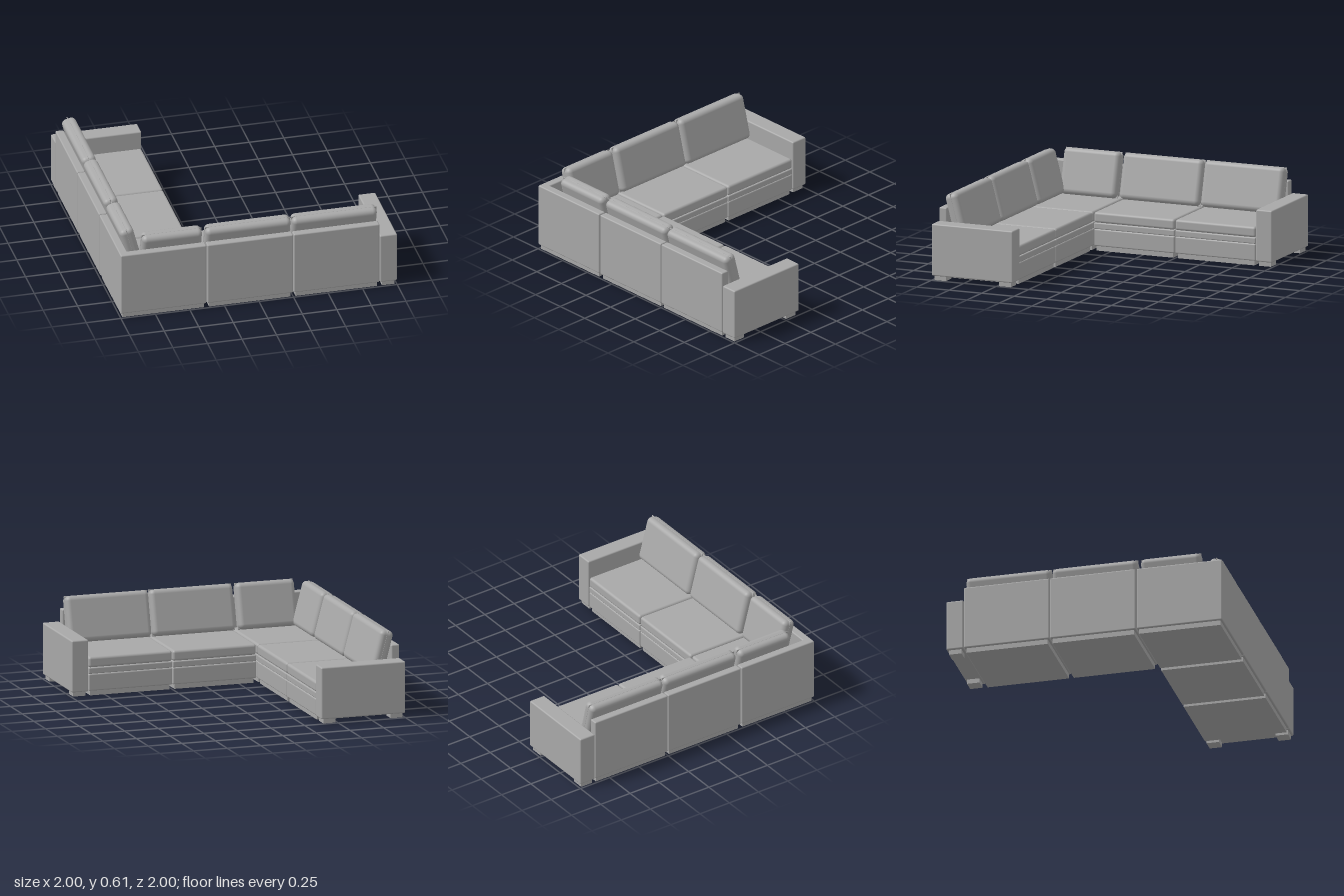
import * as THREE from 'three';
import { RoundedBoxGeometry } from 'three/addons/geometries/RoundedBoxGeometry.js';

const fabric = new THREE.MeshStandardMaterial({ color: 0xa8a8a8 });
fabric.name = 'grey fabric';

// Rounded block given by its extents on each axis
function block(parent, name, [x0, x1], [y0, y1], [z0, z1], radius) {
  const w = x1 - x0, h = y1 - y0, d = z1 - z0;
  const geometry = radius
    ? new RoundedBoxGeometry(w, h, d, 4, radius)
    : new THREE.BoxGeometry(w, h, d);
  const mesh = new THREE.Mesh(geometry, fabric);
  mesh.name = name;
  mesh.position.set((x0 + x1) / 2, (y0 + y1) / 2, (z0 + z1) / 2);
  parent.add(mesh);
}

// Plinth, base, thin band and seat cushion, stacked
function addSeat(parent, x, z) {
  block(parent, 'plinth', [x[0] + 0.015, x[1] - 0.015], [0, 0.045], [z[0] + 0.015, 0.985]);
  block(parent, 'seatBase', x, [0.035, 0.157], z, 0.01);
  block(parent, 'seatBand', x, [0.157, 0.202], z, 0.008);
  block(parent, 'seatCushion', x, [0.202, 0.278], z, 0.018);
}

// Back cushion leaning against the panel, with piping round its middle
function addBackCushion(parent, centreX, width) {
  const cushion = new THREE.Group();
  cushion.name = 'backCushion';
  const w = width / 2, h = 0.164;
  block(cushion, 'cushionBody', [-w, w], [-h, h], [-0.051, 0.051], 0.034);
  block(cushion, 'cushionPiping', [-w - 0.001, w + 0.001], [-h - 0.001, h + 0.001], [-0.003, 0.003], 0.0028);
  cushion.position.set(centreX, 0.442, 0.875);
  cushion.rotation.x = 0.26;
  parent.add(cushion);
}

// One wing: two seats and an end arm, its back along +z
function makeWing(name, side) {
  const wing = new THREE.Group();
  wing.name = name;
  const span = (a, b) => (side > 0 ? [a, b] : [-b, -a]);

  for (const centre of [-0.0625, 0.5625]) {
    const unit = new THREE.Group();
    unit.name = 'seatUnit';
    const x = span(centre - 0.31, centre + 0.31);
    addSeat(unit, x, [0.377, 0.95]);
    block(unit, 'backPanel', x, [0.035, 0.5], [0.94, 1], 0.009);
    addBackCushion(unit, side * centre, 0.616);
    wing.add(unit);
  }

  // End arm on two feet
  block(wing, 'arm', span(0.876, 1), [0.033, 0.405], [0.375, 1], 0.01);
  for (const z of [0.395, 0.895]) {
    block(wing, 'armFoot', span(0.893, 0.983), [0, 0.04], [z, z + 0.09]);
  }

  // This wing's share of the corner cushions
  addBackCushion(wing, side * -0.612, 0.434);
  return wing;
}

export function createModel() {
  const sofa = new THREE.Group();
  sofa.name = 'cornerSofa';

  const frontWing = makeWing('frontWing', 1);
  const sideWing = makeWing('sideWing', -1);
  sideWing.rotation.y = -Math.PI / 2;
  sofa.add(frontWing, sideWing);

  // Corner unit with a panel on both outer sides
  const corner = new THREE.Group();
  corner.name = 'cornerUnit';
  addSeat(corner, [-0.95, -0.38], [0.38, 0.95]);
  block(corner, 'cornerPlinth', [-0.985, -0.93], [0, 0.045], [0.395, 0.985]);
  block(corner, 'cornerBackPanel', [-1, -0.38], [0.035, 0.5], [0.94, 1], 0.009);
  block(corner, 'cornerSidePanel', [-1, -0.94], [0.035, 0.5], [0.38, 1], 0.009);
  sofa.add(corner);

  return sofa;
}
